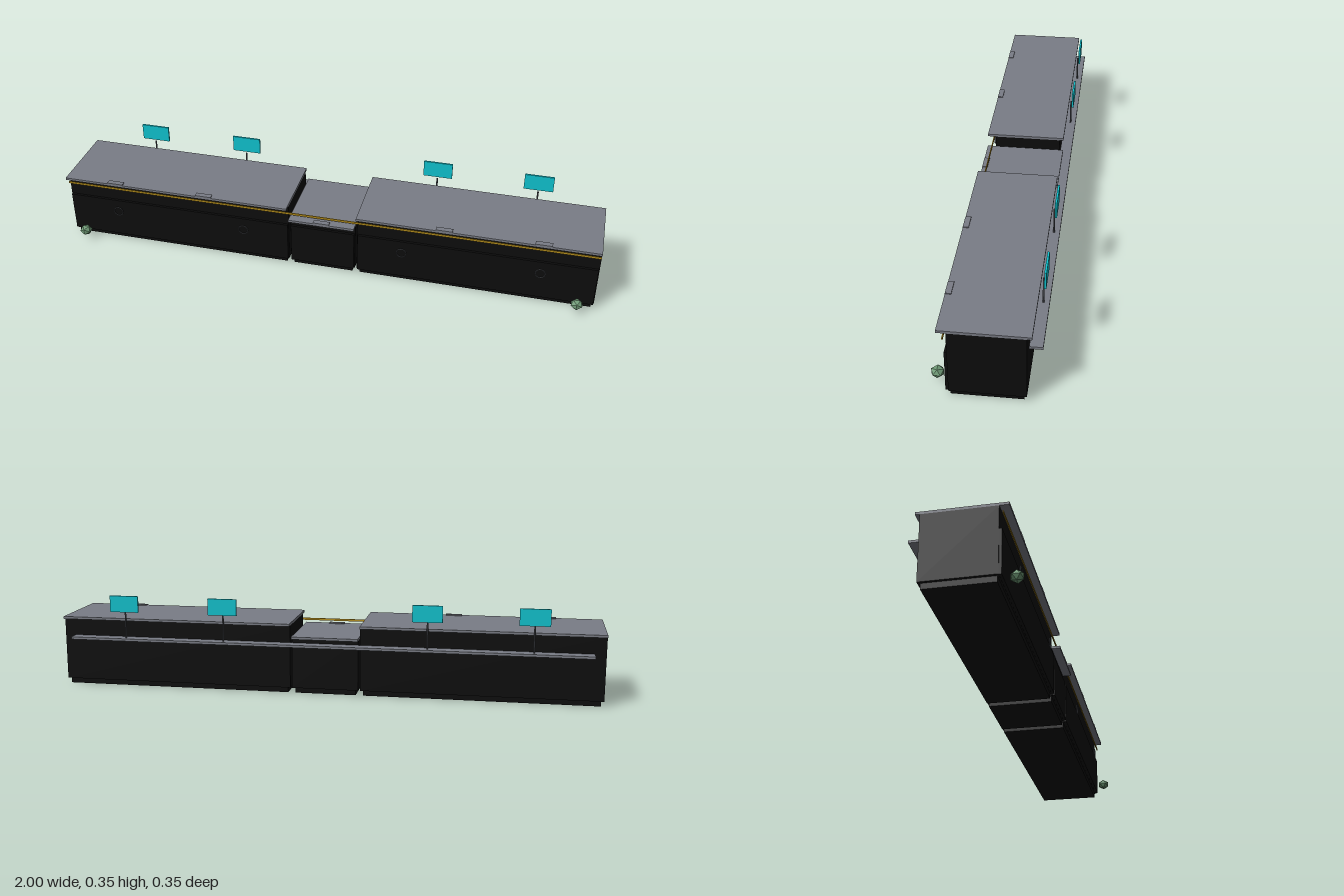
import * as THREE from 'three';

function mat(name, color) {
  const m = new THREE.MeshStandardMaterial({ color });
  m.name = name;
  return m;
}

export function createModel() {
  const group = new THREE.Group();
  const black = mat('black', 0x0d0d0d);
  const grey = mat('counterGrey', 0x7a7d86);
  const steel = mat('steelGrey', 0x55585e);
  const gold = mat('gold', 0xb8901c);
  const cyan = mat('screenCyan', 0x10c4d0);
  const green = mat('leafGreen', 0x6f9a76);

  const add = (name, geometry, material, x, y, z) => {
    const m = new THREE.Mesh(geometry, material);
    m.name = name;
    m.position.set(x, y, z);
    group.add(m);
    return m;
  };
  // Box given by its limits on each axis
  const box = (name, material, x0, x1, y0, y1, z0, z1) =>
    add(name, new THREE.BoxGeometry(x1 - x0, y1 - y0, z1 - z0), material,
      (x0 + x1) / 2, (y0 + y1) / 2, (z0 + z1) / 2);

  // Counter section: plinth, cabinet, front panel and worktop
  const section = (name, x0, x1, top) => {
    box(name + 'Plinth', black, x0 + 0.01, x1 - 0.01, 0, 0.02, -0.121, 0.109);
    box(name + 'Cabinet', black, x0, x1, 0.02, top - 0.009, -0.13, 0.114);
    box(name + 'FrontPanel', black, x0 + 0.003, x1 - 0.003, 0.021, 0.175, 0.114, 0.123);
    box(name + 'Worktop', grey, x0, x1, top - 0.009, top, -0.145, 0.145);
  };
  section('rightCounter', -1, -0.13, 0.262);
  section('middleCounter', -0.123, 0.123, 0.215);
  section('leftCounter', 0.13, 1, 0.262);

  // Small pads on the front edge of the worktops
  for (const x of [-0.8, -0.45, 0.45, 0.8]) {
    box('counterPad', grey, x - 0.03, x + 0.03, 0.262, 0.2655, 0.125, 0.145);
  }
  box('middlePad', grey, -0.03, 0.03, 0.215, 0.2185, 0.125, 0.145);

  // Gold trim along the front
  box('goldTrim', gold, -1, 1, 0.227, 0.235, 0.1235, 0.127);

  // Rear shelf with screens on poles
  box('rearShelf', grey, -0.96, 0.96, 0.182, 0.191, -0.175, -0.132);
  for (const x of [-0.75, -0.375, 0.375, 0.75]) {
    add('screenPole', new THREE.CylinderGeometry(0.003, 0.003, 0.098, 8), steel, x, 0.239, -0.155);
    box('screen', cyan, x - 0.054, x + 0.054, 0.29, 0.351, -0.168, -0.161);
  }

  // Ring emblems on the front
  for (const x of [-0.8, -0.3, 0.3, 0.8]) {
    add('frontRing', new THREE.TorusGeometry(0.0175, 0.002, 8, 24), steel, x, 0.1375, 0.14);
  }

  // Faceted shrubs at the two ends
  for (const x of [-0.94, 0.94]) {
    add('shrub', new THREE.IcosahedronGeometry(0.0235, 0), green, x, 0.04, 0.157).scale.y = 0.86;
  }
  return group;
}
